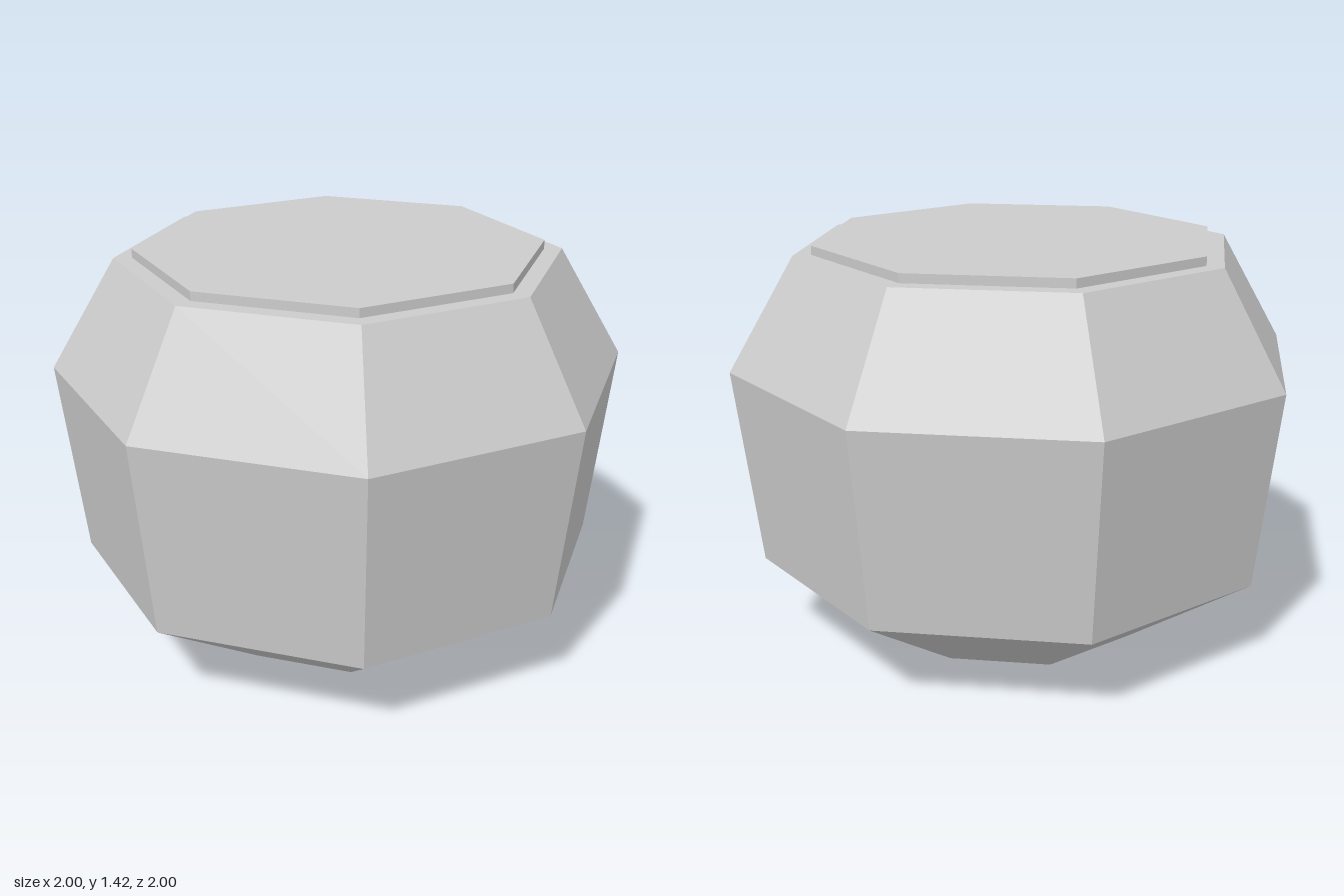
import * as THREE from 'three';

const SIDES = 8;

export function createModel() {
  const model = new THREE.Group();
  model.name = 'pot';

  const lightGrey = new THREE.MeshStandardMaterial({ color: 0xcccccc, flatShading: true });
  lightGrey.name = 'lightGrey';

  // Faceted body: tapered foot, tall wall, sloping shoulder and flat rim
  const profile = [
    [0, 0], [0.46, 0], [0.92, 0.31], [1, 1], [0.77, 1.387], [0, 1.387],
  ].map(([r, y]) => new THREE.Vector2(r, y));
  const body = new THREE.Mesh(new THREE.LatheGeometry(profile, SIDES), lightGrey);
  body.name = 'body';
  model.add(body);

  // Thin octagonal lid, sunk slightly into the rim
  const lid = new THREE.Mesh(new THREE.CylinderGeometry(0.707, 0.707, 0.04, SIDES), lightGrey);
  lid.name = 'lid';
  lid.position.y = 1.398;
  model.add(lid);

  return model;
}
